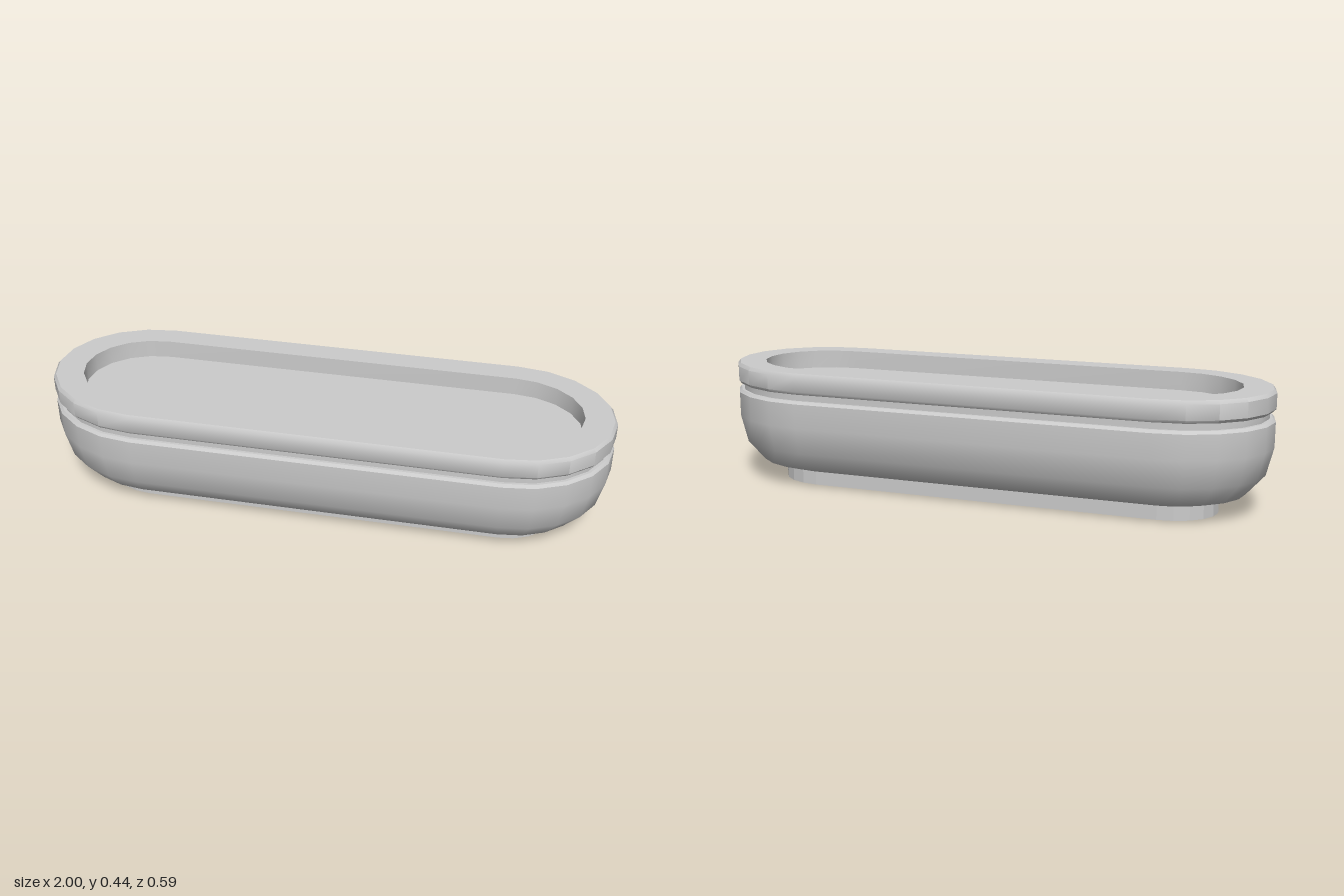
import * as THREE from 'three';
import { toCreasedNormals } from 'three/addons/utils/BufferGeometryUtils.js';

const HALF_STRAIGHT = 0.64; // half length of the straight sides
const END_STRETCH = 0.36 / 0.295; // rounded ends are slightly elongated
const STEPS = 10; // sides per rounded end

// Outline of radius r (half width) at height y, running round both ends
function ring(r, y) {
  const points = [];
  for (const side of [1, -1]) {
    for (let i = 0; i <= STEPS; i++) {
      const a = -Math.PI / 2 + (i / STEPS) * Math.PI;
      points.push([side * (HALF_STRAIGHT + r * END_STRETCH * Math.cos(a)), y, side * r * Math.sin(a)]);
    }
  }
  return points;
}

// Skin a [radius, height] profile around the oblong outline
function oblong(name, profile, crease) {
  const count = 2 * (STEPS + 1);
  const positions = profile.flatMap(([r, y]) => ring(r, y).flat());
  const index = [];
  for (let i = 0; i < profile.length - 1; i++) {
    for (let j = 0; j < count; j++) {
      const k = (j + 1) % count;
      const a = i * count + j, b = a + count;
      const c = i * count + k, d = c + count;
      index.push(a, b, c, b, d, c);
    }
  }
  const geometry = new THREE.BufferGeometry();
  geometry.setAttribute('position', new THREE.Float32BufferAttribute(positions, 3));
  geometry.setIndex(index);
  const material = new THREE.MeshStandardMaterial({ color: 0xcccccc, side: THREE.DoubleSide });
  const mesh = new THREE.Mesh(toCreasedNormals(geometry, crease), material);
  mesh.name = name;
  return mesh;
}

export function createModel() {
  const group = new THREE.Group();
  group.name = 'oblongBasin';

  // Open foot with faceted ends
  group.add(oblong('foot', [[0.15, 0], [0.15, 0.05]], 0.1));

  // Rounded bowl with a chamfered shoulder
  group.add(oblong('body', [
    [0.15, 0.05], [0.223, 0.075], [0.275, 0.147], [0.295, 0.245],
    [0.295, 0.333], [0.287, 0.343], [0.278, 0.343],
  ], 0.65));

  // Recessed groove between body and rim
  group.add(oblong('neck', [[0.278, 0.343], [0.278, 0.367]], 0.65));

  // Chamfered rim with a sunken tray
  group.add(oblong('rim', [
    [0.278, 0.367], [0.287, 0.367], [0.295, 0.378], [0.295, 0.431],
    [0.287, 0.443], [0.205, 0.443], [0.205, 0.377],
  ], 0.65));
  group.add(oblong('trayFloor', [[0.205, 0.377], [0, 0.377]], 0.65));

  return group;
}
